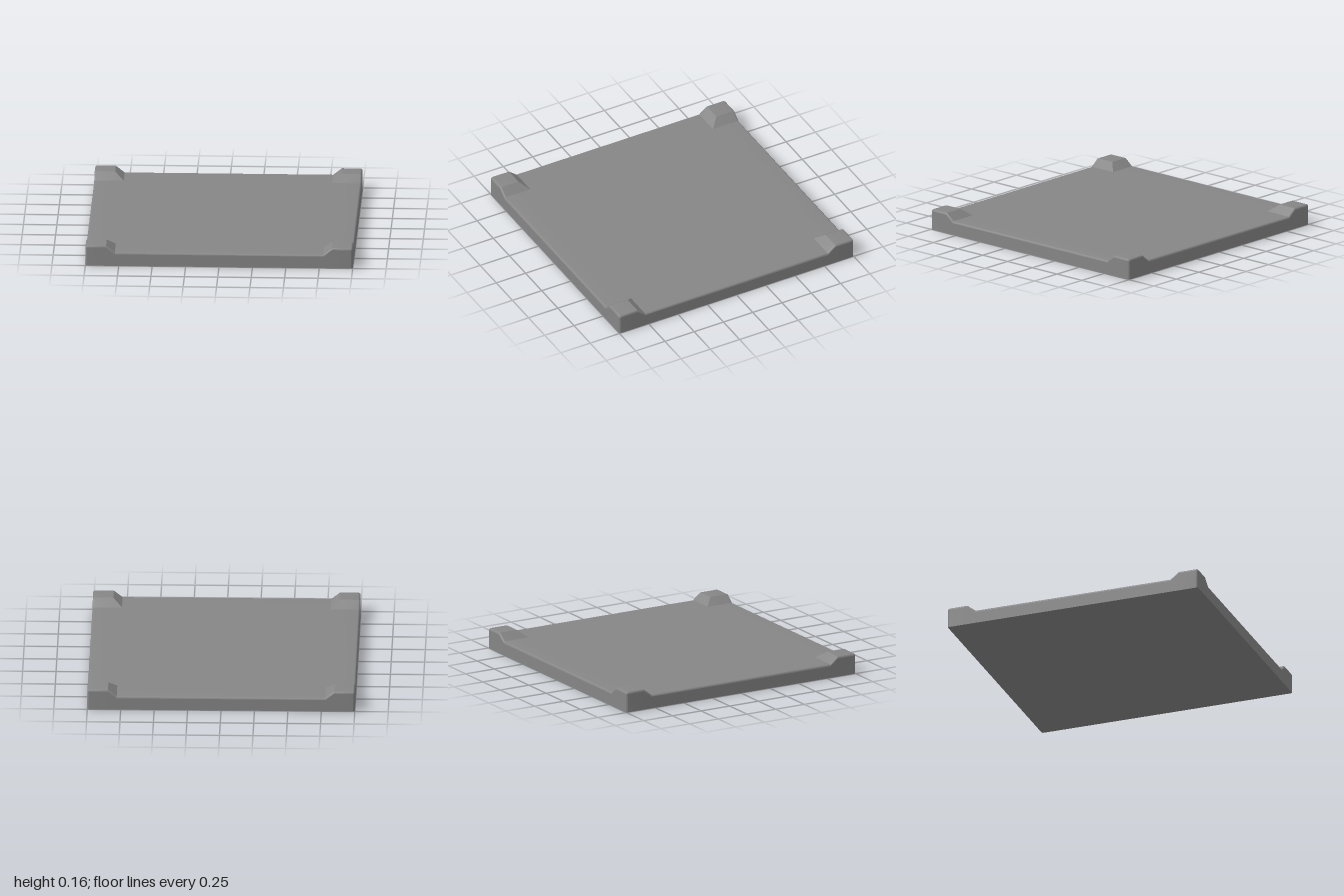
import * as THREE from 'three';
import { mergeGeometries, toCreasedNormals } from 'three/addons/utils/BufferGeometryUtils.js';

const DECK = 0.105, RISE = 0.052;      // plate height and extra height of the corner stops
const INNER = 0.78, CREST = 0.845;     // foot and top of the stops' sloped inner faces
const BEVEL = 0.015;                   // rounding of the upper outer edge and upright corners

// Stations from the stop's foot to the outer edge: a holding loop, then the rounding
const arc = [0, 1, 2, 3].map(i => 1 - BEVEL + BEVEL * Math.sin(i * Math.PI / 6));
const high = [INNER, CREST, 1 - BEVEL - 0.003, ...arc];
const low = high.map(v => -v).reverse();
const mid = [-INNER, INNER];
const full = [...low, ...high];

const ramp = t => THREE.MathUtils.clamp((Math.abs(t) - INNER) / (CREST - INNER), 0, 1);
const edge = t => Math.max(0, Math.abs(t) - 1 + BEVEL);
const drop = e => BEVEL - Math.sqrt(Math.max(0, BEVEL * BEVEL - e * e));
const height = (x, z) =>
  DECK + RISE * Math.min(ramp(x), ramp(z)) - drop(Math.max(edge(x), edge(z)));

// Point at height y with the square plan's corners pulled in to quarter circles
function rounded(x, y, z) {
  const ex = edge(x), ez = edge(z);
  const pull = 1 - Math.max(ex, ez) / (Math.hypot(ex, ez) || 1);
  return [x - Math.sign(x) * ex * (ex && ez ? pull : 0), y, z - Math.sign(z) * ez * (ex && ez ? pull : 0)];
}

// Surface over stations us x vs; diagonals run outward so that mitres stay crisp
function patch(us, vs, point) {
  const pos = [];
  for (let i = 0; i < us.length - 1; i++) {
    for (let j = 0; j < vs.length - 1; j++) {
      const a = point(us[i], vs[j]), b = point(us[i], vs[j + 1]);
      const c = point(us[i + 1], vs[j + 1]), d = point(us[i + 1], vs[j]);
      const outward = (us[i] + us[i + 1]) * (vs[j] + vs[j + 1]) >= 0;
      pos.push(...(outward ? [a, b, c, a, c, d] : [a, b, d, b, c, d]).flat());
    }
  }
  const g = new THREE.BufferGeometry();
  g.setAttribute('position', new THREE.Float32BufferAttribute(pos, 3));
  return g;
}

export function createModel() {
  const group = new THREE.Group();
  const material = new THREE.MeshStandardMaterial({ color: 0x868686 });
  const add = (name, geometry) => {
    const mesh = new THREE.Mesh(toCreasedNormals(geometry, 0.6), material);
    mesh.name = name;
    group.add(mesh);
    return mesh;
  };
  const top = (x, z) => rounded(x, height(x, z), z);

  // Flat deck with its rounded rim between the stops
  add('deck', mergeGeometries([
    patch(mid, mid, top),
    patch(low, mid, top), patch(high, mid, top),
    patch(mid, low, top), patch(mid, high, top),
  ]));

  // Raised stops with sloped inner faces at the four corners
  for (const [side, xs] of [['Right', low], ['Left', high]]) {
    for (const [end, zs] of [['back', low], ['front', high]]) {
      add(`${end}${side}CornerStop`, patch(xs, zs, top));
    }
  }

  // Four equal side walls that follow the stops' outline
  const wall = patch(full, [0, 1], (u, v) => rounded(-u, v * height(u, 1), 1));
  ['frontWall', 'leftWall', 'backWall', 'rightWall'].forEach((name, i) => {
    add(name, wall.clone()).rotation.y = i * Math.PI / 2;
  });

  // Flat underside
  add('underside', patch(full, full, (u, v) => rounded(-u, 0, v)));
  return group;
}
